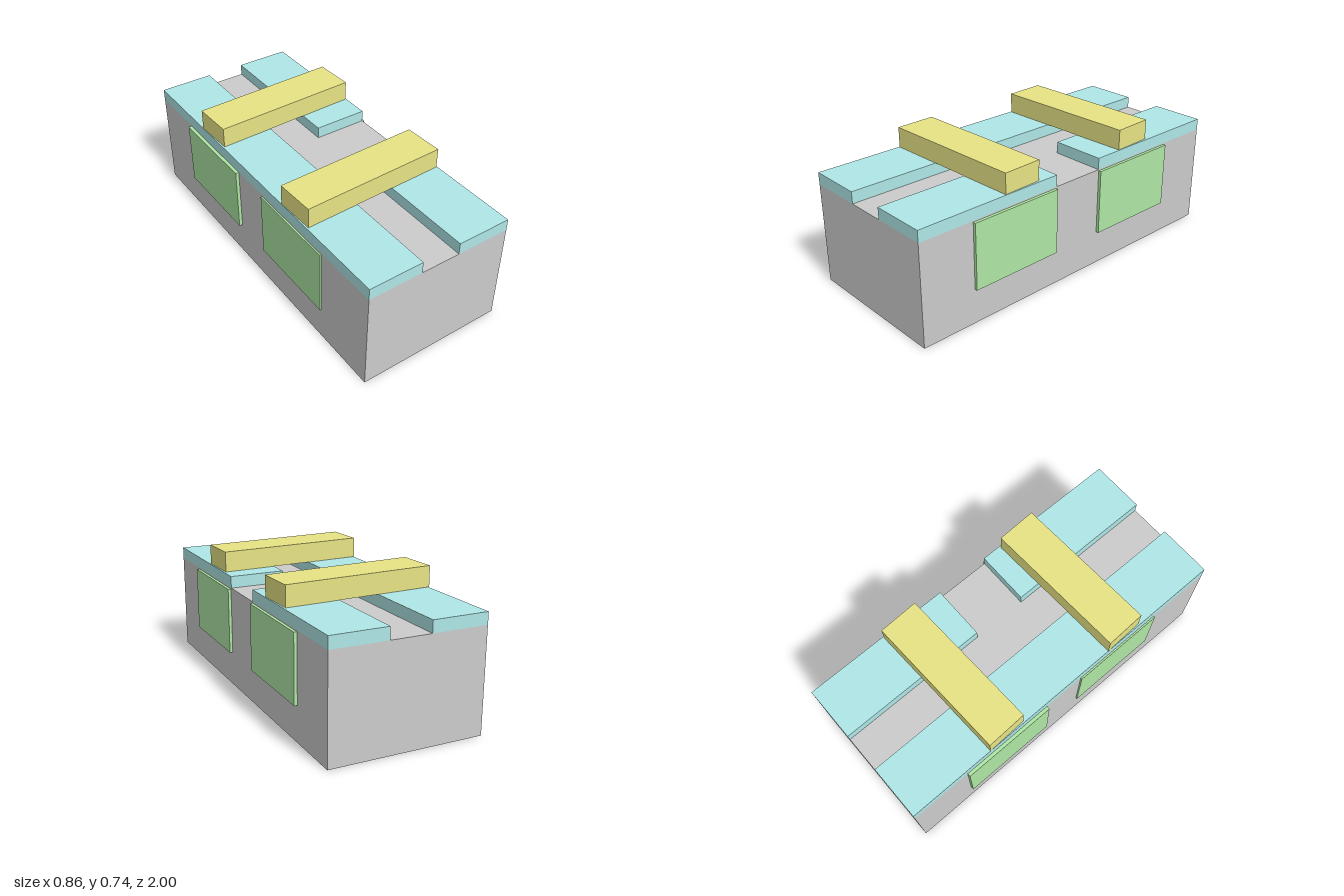
import * as THREE from 'three';

const mat = (color) => new THREE.MeshStandardMaterial({ color });

export function createModel() {
  const model = new THREE.Group();
  const grey = mat(0xcccccc), teal = mat(0xb0e7e7), yellow = mat(0xe7e385), green = mat(0xaee7a5);

  // Box given by its lower and upper corners
  function block(name, material, [x0, y0, z0], [x1, y1, z1]) {
    const mesh = new THREE.Mesh(new THREE.BoxGeometry(x1 - x0, y1 - y0, z1 - z0), material);
    mesh.position.set((x0 + x1) / 2, (y0 + y1) / 2, (z0 + z1) / 2);
    mesh.name = name;
    model.add(mesh);
    return mesh;
  }

  const W = 0.414, H = 0.557, RAIL_TOP = 0.621;

  // Solid base
  block('base', grey, [-W, 0, -1], [W, H, 1]);

  // Top rails: one full length, the other split by a gap
  block('rightRail', teal, [-W, H, -1], [-0.11, RAIL_TOP, 1]);
  block('leftRailFront', teal, [0.11, H, 0.15], [W, RAIL_TOP, 1]);
  block('leftRailBack', teal, [0.11, H, -1], [W, RAIL_TOP, -0.155]);

  // Side panels, sunk slightly into the base
  block('leftPanelFront', green, [0.405, 0.19, 0.157], [0.43, 0.55, 0.69]);
  block('leftPanelBack', green, [0.405, 0.19, -0.69], [0.43, 0.55, -0.157]);
  block('rightPanelFront', green, [-0.423, 0.185, 0.105], [-0.405, 0.547, 0.637]);
  block('rightPanelBack', green, [-0.432, 0.193, -0.662], [-0.405, 0.553, -0.13]);

  // Cross bars, turned a little off square
  for (const [name, z] of [['crossBarFront', 0.388], ['crossBarBack', -0.412]]) {
    const bar = block(name, yellow, [-0.41, 0.622, z - 0.112], [0.406, 0.734, z + 0.112]);
    bar.rotation.set(0, 0.036, -0.004);
  }

  return model;
}
